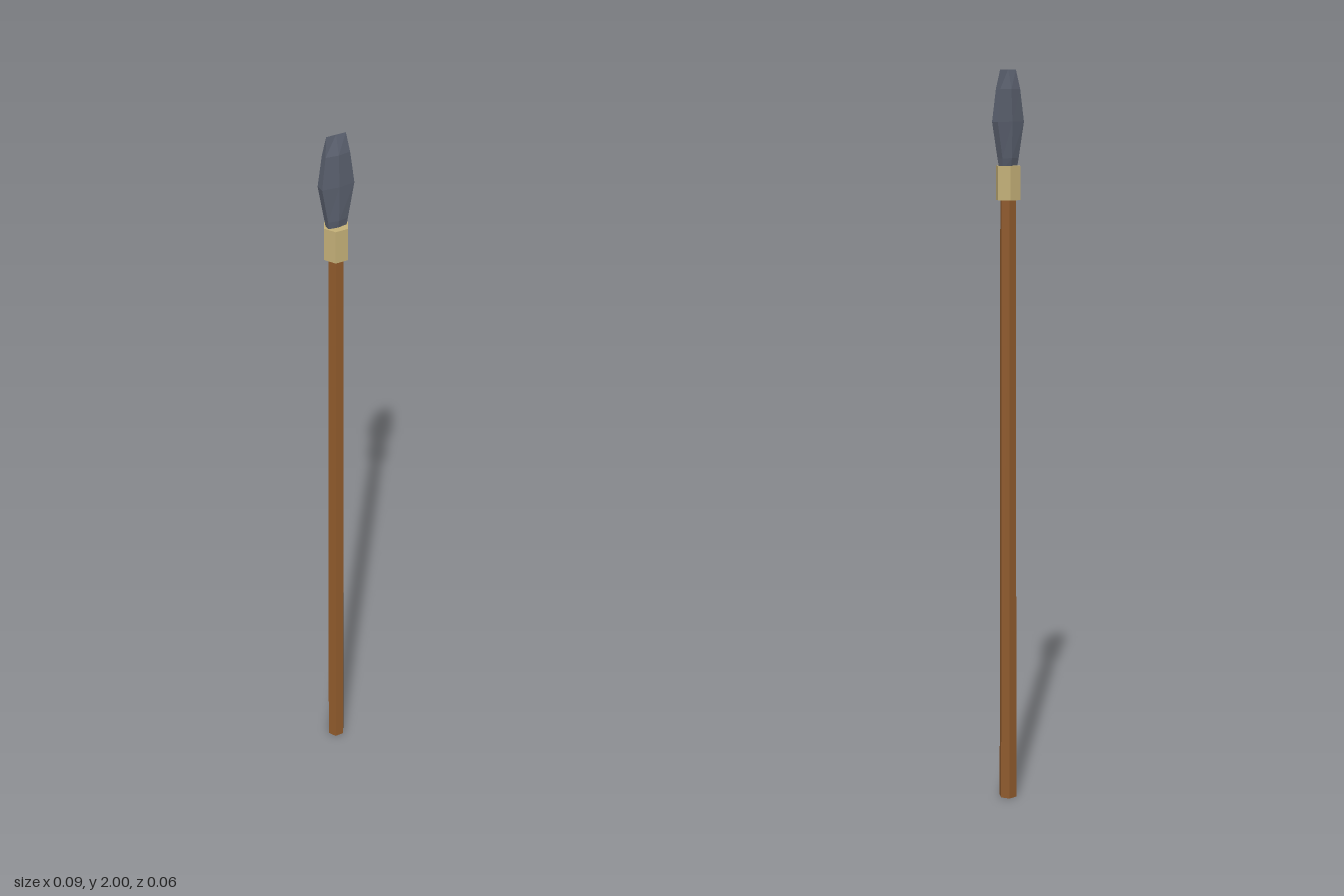
import * as THREE from 'three';

function part(name, geometry, color) {
  const mesh = new THREE.Mesh(geometry, new THREE.MeshStandardMaterial({ flatShading: true }));
  mesh.material.color.set(color);
  mesh.name = name;
  return mesh;
}

// Six-sided column with corners on the x axis and flats facing front and back
function hexColumn(topRadius, bottomRadius, y0, y1) {
  return new THREE.CylinderGeometry(topRadius, bottomRadius, y1 - y0, 6)
    .rotateY(Math.PI / 2)
    .translate(0, (y0 + y1) / 2, 0);
}

// Flattened six-sided blade lofted through rings of [y, half width, half thickness]
function bladeGeometry(rings) {
  const section = [[0, 1], [1, 0.65], [1, -0.65], [0, -1], [-1, -0.65], [-1, 0.65]];
  const n = section.length;
  const positions = [];
  const index = [];
  for (const [y, w, t] of rings) {
    for (const [x, z] of section) positions.push(x * w, y, z * t);
  }
  for (let r = 0; r < rings.length - 1; r++) {
    for (let i = 0; i < n; i++) {
      const a = r * n + i;
      const b = r * n + (i + 1) % n;
      index.push(a, b, b + n, a, b + n, a + n);
    }
  }
  // Bottom cap; the top closes to a chisel edge
  for (let i = 1; i < n - 1; i++) index.push(0, i + 1, i);
  const geometry = new THREE.BufferGeometry();
  geometry.setAttribute('position', new THREE.Float32BufferAttribute(positions, 3));
  geometry.setIndex(index);
  const flat = geometry.toNonIndexed();
  flat.computeVertexNormals();
  return flat;
}

export function createModel() {
  const group = new THREE.Group();
  group.name = 'chiselSpear';

  // Slightly tapered wooden pole
  group.add(part('shaft', hexColumn(0.022, 0.025, 0, 1.68), 0x8f5a2c));

  // Collar joining blade and pole
  group.add(part('collar', hexColumn(0.0345, 0.0345, 1.66, 1.75), 0xc4b078));

  // Steel blade ending in a straight edge
  group.add(part('blade', bladeGeometry([
    [1.74, 0.024, 0.011],
    [1.77, 0.028, 0.016],
    [1.865, 0.045, 0.018],
    [1.95, 0.034, 0.014],
    [2.0, 0.027, 0],
  ]), 0x5a606e));

  return group;
}
